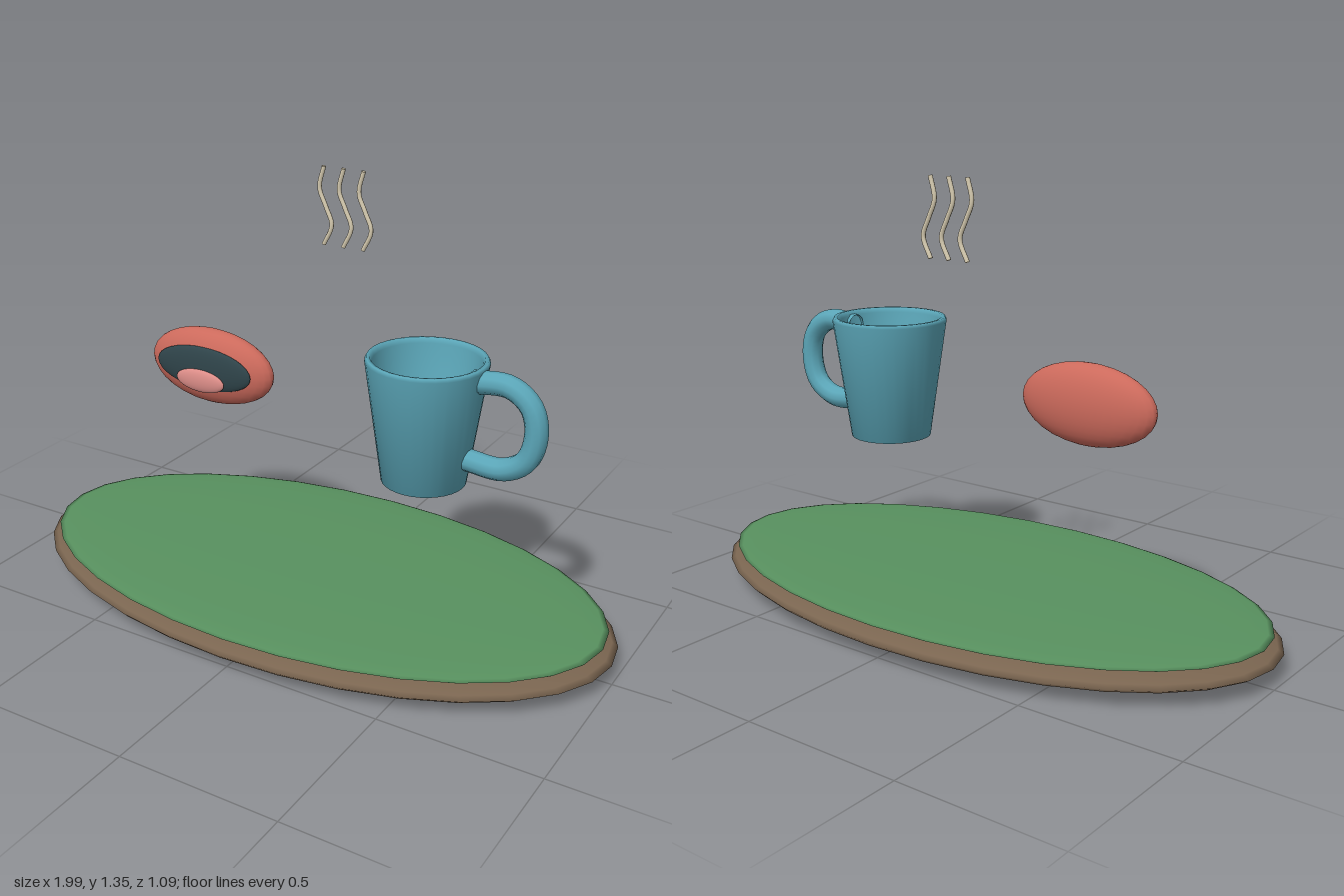
import * as THREE from 'three';

const mat = (color) => new THREE.MeshStandardMaterial({ color, side: THREE.DoubleSide });

export function createModel() {
  const model = new THREE.Group();
  const v = (x, y, z = 0) => new THREE.Vector3(x, y, z);

  const add = (name, geometry, material, parent = model) => {
    const mesh = new THREE.Mesh(geometry, material);
    mesh.name = name;
    parent.add(mesh);
    return mesh;
  };

  // Smooth sphere squashed to the given radii
  const ellipsoid = (name, color, pos, radii, parent = model) => {
    const mesh = add(name, new THREE.SphereGeometry(1, 32, 16), mat(color), parent);
    mesh.position.set(...pos);
    mesh.scale.set(...radii);
  };

  // Oval table: wooden slab with a green top
  ellipsoid('tableBase', 0x7a6550, [0, 0.06, 0], [0.995, 0.06, 0.543]);
  ellipsoid('tableTop', 0x58915f, [0, 0.105, 0], [0.965, 0.02, 0.522]);

  // Open mouth: lips, dark opening and tongue
  const mouth = new THREE.Group();
  mouth.name = 'mouth';
  mouth.position.set(-0.38, 0.71, 0);
  model.add(mouth);
  ellipsoid('lips', 0xcc6a5c, [0, 0, 0], [0.228, 0.123, 0.063], mouth);
  ellipsoid('opening', 0x2f444a, [0, 0.005, 0.05], [0.177, 0.071, 0.018], mouth);
  ellipsoid('tongue', 0xdc8d88, [0, -0.03, 0.07], [0.09, 0.037, 0.014], mouth);

  // Mug: hollow tapered cup with a rounded rim
  const mug = new THREE.Group();
  mug.name = 'mug';
  mug.position.set(0.375, 0, 0);
  model.add(mug);
  const mugMat = mat(0x5ba6b8);
  const profile = [
    [0, 0.5], [0.127, 0.5], [0.181, 0.875], [0.176, 0.885],
    [0.166, 0.885], [0.16, 0.87], [0.112, 0.53], [0, 0.53],
  ].map(([r, y]) => new THREE.Vector2(r, y));
  add('cup', new THREE.LatheGeometry(profile, 32), mugMat, mug);

  // Handle looping out on the left side
  const loop = new THREE.CatmullRomCurve3([
    v(0.145, 0.84), v(0.26, 0.846), v(0.325, 0.8), v(0.345, 0.72),
    v(0.32, 0.635), v(0.25, 0.592), v(0.13, 0.596),
  ]);
  add('handle', new THREE.TubeGeometry(loop, 32, 0.034, 10), mugMat, mug);

  // Three wavy wisps of steam
  const steamMat = mat(0xd6cbb0);
  for (const x of [-0.068, 0, 0.068]) {
    const wave = new THREE.CatmullRomCurve3([
      v(x - 0.002, 1.112), v(x + 0.025, 1.175), v(x + 0.004, 1.23),
      v(x - 0.018, 1.285), v(x - 0.003, 1.352),
    ]);
    const wisp = add('steam', new THREE.TubeGeometry(wave, 24, 0.007, 8), steamMat);
    wisp.position.z = -0.166;
  }

  return model;
}
